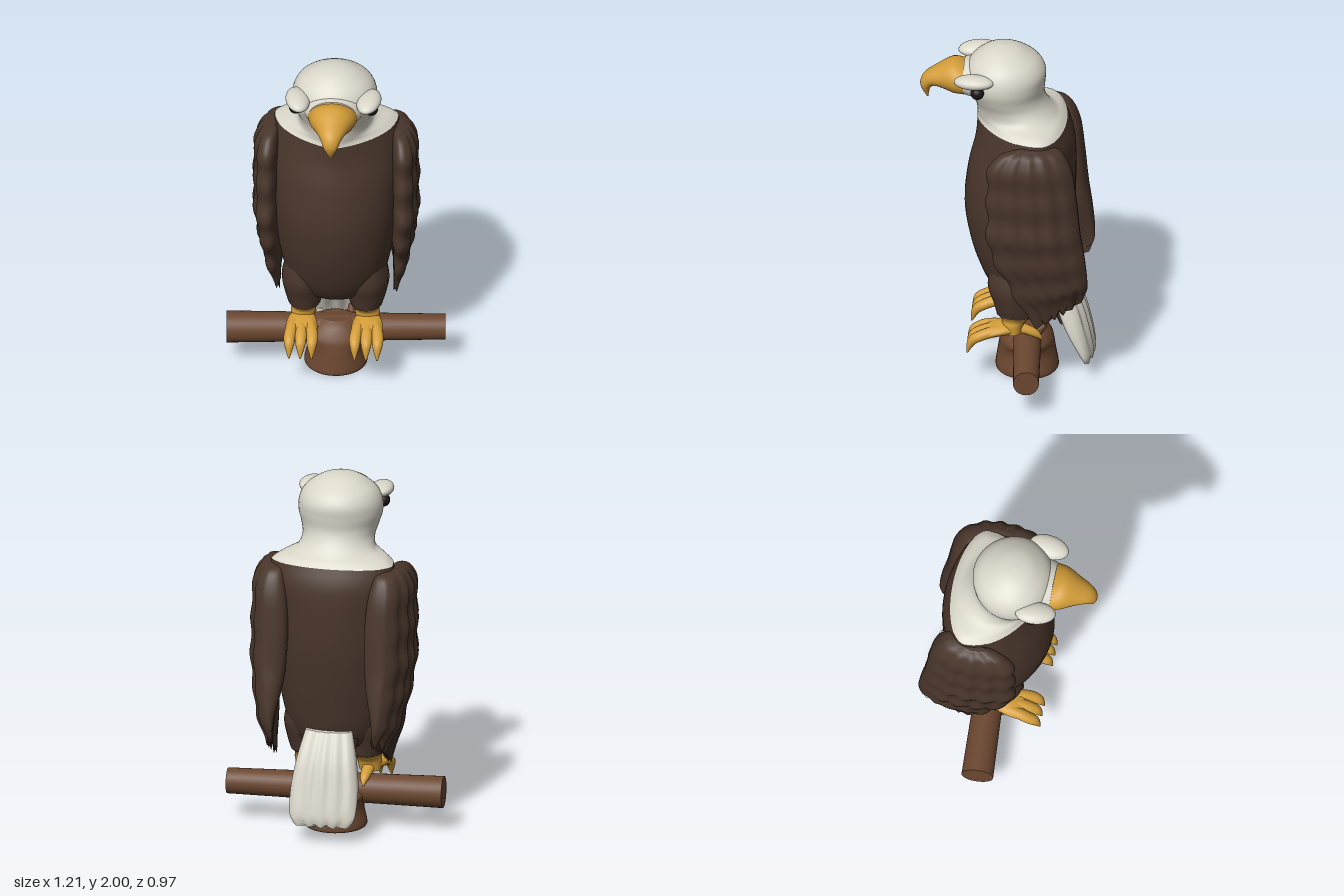
import * as THREE from 'three';

const mat = (color) => new THREE.MeshStandardMaterial({ color });
const BROWN = mat(0x49362b), WHITE = mat(0xdad7ca), YELLOW = mat(0xd29c38), WOOD = mat(0x6b4730), BLACK = mat(0x1a1614);

// Smoothly interpolate between rows of numbers
function sampleRows(rows, t) {
  const f = t * (rows.length - 1), i = Math.min(Math.floor(f), rows.length - 2), u = f - i;
  const r = (k) => rows[Math.max(0, Math.min(rows.length - 1, k))];
  return rows[i].map((_, c) => {
    const a = r(i - 1)[c], b = r(i)[c], d = r(i + 1)[c], e = r(i + 2)[c];
    return b + 0.5 * u * (d - a + u * (2 * a - 5 * b + 4 * d - e + u * (3 * (b - d) + e - a)));
  });
}

// Closed skin over cross-sections: section(row, angle) gives [x, y, z]
function loft(rows, section, n = 32, sub = 5) {
  const m = (rows.length - 1) * sub, pos = [], idx = [];
  for (let i = 0; i <= m; i++) {
    const row = sampleRows(rows, i / m);
    for (let j = 0; j < n; j++) pos.push(...section(row, (j / n) * Math.PI * 2));
  }
  for (let i = 0; i < m; i++) {
    for (let j = 0; j < n; j++) {
      const a = i * n + j, b = i * n + (j + 1) % n;
      idx.push(a, a + n, b, b, a + n, b + n);
    }
  }
  // end caps on their own vertices
  for (const end of [0, m]) {
    const base = pos.length / 3, c = [0, 0, 0];
    for (let j = 0; j < n; j++) {
      for (let k = 0; k < 3; k++) {
        const p = pos[(end * n + j) * 3 + k];
        pos.push(p);
        c[k] += p / n;
      }
    }
    pos.push(...c);
    for (let j = 0; j < n; j++) {
      const a = base + j, b = base + (j + 1) % n;
      if (end) idx.push(a, base + n, b); else idx.push(b, base + n, a);
    }
  }
  // turn the skin outwards if its signed volume is negative
  const v = (i) => new THREE.Vector3(pos[i * 3], pos[i * 3 + 1], pos[i * 3 + 2]);
  let volume = 0;
  for (let i = 0; i < idx.length; i += 3) volume += v(idx[i]).dot(v(idx[i + 1]).cross(v(idx[i + 2])));
  if (volume < 0) idx.reverse();
  const g = new THREE.BufferGeometry();
  g.setAttribute('position', new THREE.Float32BufferAttribute(pos, 3));
  g.setIndex(idx);
  g.computeVertexNormals();
  return g;
}

const pow = (v, p) => Math.sign(v) * Math.pow(Math.abs(v), p);

// Horizontal section: [y, halfWidth, zFront, zBack, zWidest, frontPinch]
const level = ([y, w, zf, zb, zm, pinch = 1], a) => {
  const s = Math.sin(a);
  return [w * pow(Math.cos(a), s > 0 ? pinch : 1), y, zm + s * (s > 0 ? zf - zm : zm - zb)];
};
// Section tilted about x: [x, y, z, halfWidth, halfHeight, tilt]
const tilted = (side) => ([x, y, z, w, h, t], a) => {
  const s = Math.sin(a) * h;
  return [side * (x + w * Math.cos(a)), y + s * Math.cos(t), z + s * Math.sin(t)];
};
// Wing section: [y, zFront, zBack, x, halfThickness, rearLift, innerFill, serration]
const wingSection = (side) => ([y, zf, zb, xm, t, lift, fill, ser], a) => {
  const s = Math.cos(a), q = pow(Math.sin(a), 0.8), rear = Math.max(0, s);
  const scallop = 0.01 * Math.cos(y * 31) * Math.max(0, -s);
  const ridge = q > 0 ? q * (0.1 * t * Math.cos(s * 15) + 0.006 * Math.cos(y * 31)) : q * fill * rear;
  const x = xm - 0.045 * rear * rear + q * t + ridge;
  return [side * x, y + lift * (s + 1) / 2 + ser * Math.cos(s * 18), (zf + zb) / 2 - s * (zf - zb) / 2 + scallop];
};
// Tail section: [y, z, halfWidth, halfThickness, serration]
const tailSection = ([y, z, w, t, ser], a) => {
  const s = Math.cos(a), wave = Math.cos(s * 15);
  return [w * s, y - ser * wave, z + 0.025 * s * s + pow(Math.sin(a), 0.45) * t * (1 + 0.12 * wave)];
};

export function createModel() {
  const model = new THREE.Group();
  const add = (name, geometry, material, p = [0, 0, 0]) => {
    const mesh = new THREE.Mesh(geometry, material);
    mesh.name = name;
    mesh.position.set(...p);
    model.add(mesh);
    return mesh;
  };

  // Body and white head
  add('body', loft([
    [0.455, 0.1, -0.01, -0.2, -0.11, 1], [0.5, 0.2, 0.06, -0.25, -0.1, 1], [0.6, 0.265, 0.125, -0.29, -0.09, 1],
    [0.75, 0.305, 0.185, -0.32, -0.09, 1], [0.92, 0.33, 0.225, -0.35, -0.09, 1], [1.08, 0.345, 0.238, -0.37, -0.1, 1],
    [1.28, 0.355, 0.215, -0.375, -0.12, 1.1], [1.44, 0.36, 0.178, -0.365, -0.17, 1.3], [1.55, 0.34, 0.168, -0.325, -0.19, 1.5],
  ], level, 48), BROWN);
  add('head', loft([
    [1.55, 0.34, 0.168, -0.325, -0.19, 1.5], [1.575, 0.3, 0.168, -0.3, -0.18, 1.5], [1.605, 0.22, 0.168, -0.265, -0.1, 1.15],
    [1.66, 0.2, 0.175, -0.222, -0.03, 1], [1.72, 0.214, 0.2, -0.2, 0.01, 1], [1.79, 0.233, 0.235, -0.205, 0.02, 1],
    [1.86, 0.228, 0.232, -0.207, 0.02, 1], [1.92, 0.195, 0.2, -0.17, 0.02, 1], [1.97, 0.125, 0.14, -0.095, 0.025, 1],
    [1.992, 0.065, 0.09, -0.04, 0.025, 1], [2, 0.004, 0.03, 0.02, 0.025, 1],
  ], level, 48), WHITE);
  add('underTail', loft([
    [0.31, 0.09, -0.28, -0.33, -0.3], [0.4, 0.12, -0.23, -0.33, -0.28], [0.55, 0.16, -0.1, -0.33, -0.2],
  ], level), BROWN);

  // Hooked beak with the white face behind it
  add('face', loft([[0, 1.8, 0.05, 0.19, 0.115, 0], [0, 1.805, 0.17, 0.165, 0.105, 0], [0, 1.805, 0.24, 0.134, 0.095, 0]], tilted(1)), WHITE);
  add('beak', loft([
    [0, 1.8, 0.238, 0.137, 0.09, 0], [0, 1.808, 0.3, 0.122, 0.096, 0.05], [0, 1.795, 0.37, 0.086, 0.068, 0.35],
    [0, 1.773, 0.43, 0.056, 0.047, 0.9], [0, 1.73, 0.454, 0.036, 0.029, 1.3], [0, 1.665, 0.442, 0.003, 0.003, 1.5],
  ], tilted(1)), YELLOW);

  // Tail fan
  add('tail', loft([
    [0.105, -0.46, 0.165, 0.012, 0.01], [0.16, -0.448, 0.185, 0.03, 0.008], [0.3, -0.395, 0.187, 0.055, 0],
    [0.45, -0.345, 0.165, 0.06, 0], [0.6, -0.29, 0.13, 0.03, 0],
  ], tailSection, 80), WHITE);

  for (const side of [1, -1]) {
    const name = (part) => (side > 0 ? 'left' : 'right') + part;

    add(name('Eye'), new THREE.SphereGeometry(0.037, 20, 14), BLACK, [side * 0.208, 1.808, 0.155]);
    const brow = add(name('Brow'), new THREE.SphereGeometry(1, 28, 18), WHITE, [side * 0.196, 1.868, 0.175]);
    brow.scale.set(0.066, 0.039, 0.112);
    brow.rotation.set(0.04, side * -0.15, side * 0.1);

    // Folded wing
    add(name('Wing'), loft([
      [1.535, -0.06, -0.24, 0.345, 0.02, 0, 0.03, 0], [1.5, 0.04, -0.32, 0.365, 0.055, 0, 0.08, 0],
      [1.38, 0.09, -0.375, 0.375, 0.07, 0, 0.13, 0], [1.2, 0.09, -0.4, 0.375, 0.073, 0, 0.15, 0],
      [1, 0.09, -0.42, 0.375, 0.073, 0, 0.14, 0], [0.85, 0.055, -0.44, 0.365, 0.067, 0.02, 0.1, 0],
      [0.68, -0.03, -0.455, 0.357, 0.05, 0.05, 0.05, 0.004], [0.52, -0.1, -0.455, 0.338, 0.032, 0.12, 0.01, 0.014],
      [0.42, -0.17, -0.44, 0.32, 0.012, 0.18, 0, 0.024],
    ], wingSection(side), 80, 8), BROWN);

    // Thigh, shank and taloned toes
    const limb = (part, rows, material) => add(name(part), loft(rows, tilted(side), 20), material);
    const down = Math.PI / 2;
    limb('Thigh', [
      [0.17, 0.42, -0.06, 0.09, 0.112, down], [0.172, 0.5, -0.06, 0.11, 0.132, down],
      [0.175, 0.6, -0.06, 0.12, 0.16, down], [0.17, 0.75, -0.06, 0.09, 0.14, down],
    ], BROWN);
    limb('Shank', [
      [0.17, 0.42, -0.06, 0.088, 0.11, down], [0.172, 0.39, -0.05, 0.07, 0.075, down],
      [0.176, 0.36, -0.04, 0.068, 0.06, down], [0.18, 0.31, -0.04, 0.06, 0.05, down],
    ], YELLOW);
    limb('Foot', [
      [0.18, 0.335, -0.07, 0.045, 0.022, 0], [0.18, 0.335, 0, 0.076, 0.034, 0.1],
      [0.18, 0.32, 0.08, 0.088, 0.03, 0.25], [0.18, 0.295, 0.145, 0.075, 0.012, 0.5],
    ], YELLOW);
    for (const k of [-1, 0, 1]) {
      const x = 0.18 + 0.062 * k;
      limb('Toe', [
        [0.18 + 0.03 * k, 0.335, -0.03, 0.03, 0.028, 0.1], [0.18 + 0.05 * k, 0.325, 0.07, 0.033, 0.03, 0.25],
        [x, 0.303, 0.14, 0.032, 0.029, 0.45], [x, 0.27, 0.184, 0.026, 0.025, 0.95], [x, 0.2, 0.208, 0.004, 0.004, 1.4],
      ], YELLOW);
    }
    limb('BackToe', [
      [0.18, 0.34, -0.04, 0.035, 0.03, 3], [0.178, 0.322, -0.11, 0.032, 0.026, 2.8],
      [0.175, 0.295, -0.165, 0.024, 0.022, 2.5], [0.175, 0.26, -0.2, 0.003, 0.003, 2.2],
    ], YELLOW);
  }

  // Perch: a branch across a short stump
  const start = new THREE.Vector3(-0.6, 0.217, -0.07), end = new THREE.Vector3(0.6, 0.213, -0.14);
  const branch = add('branch', new THREE.CylinderGeometry(0.071, 0.088, start.distanceTo(end), 28), WOOD);
  branch.position.copy(start).add(end).multiplyScalar(0.5);
  branch.quaternion.setFromUnitVectors(new THREE.Vector3(0, 1, 0), end.clone().sub(start).normalize());
  add('stump', loft([
    [0, 0.168, 0.062, -0.272, -0.105], [0.02, 0.174, 0.069, -0.279, -0.105], [0.1, 0.158, 0.058, -0.265, -0.105],
    [0.15, 0.165, 0.05, -0.257, -0.105], [0.2, 0.19, 0.038, -0.246, -0.105], [0.26, 0.13, 0, -0.21, -0.105],
    [0.29, 0.09, -0.04, -0.17, -0.105],
  ], level), WOOD);
  const knot = add('knot', new THREE.CylinderGeometry(0.015, 0.035, 0.1, 12), WOOD, [0.08, 0.265, -0.175]);
  knot.rotation.x = -0.8;

  return model;
}
